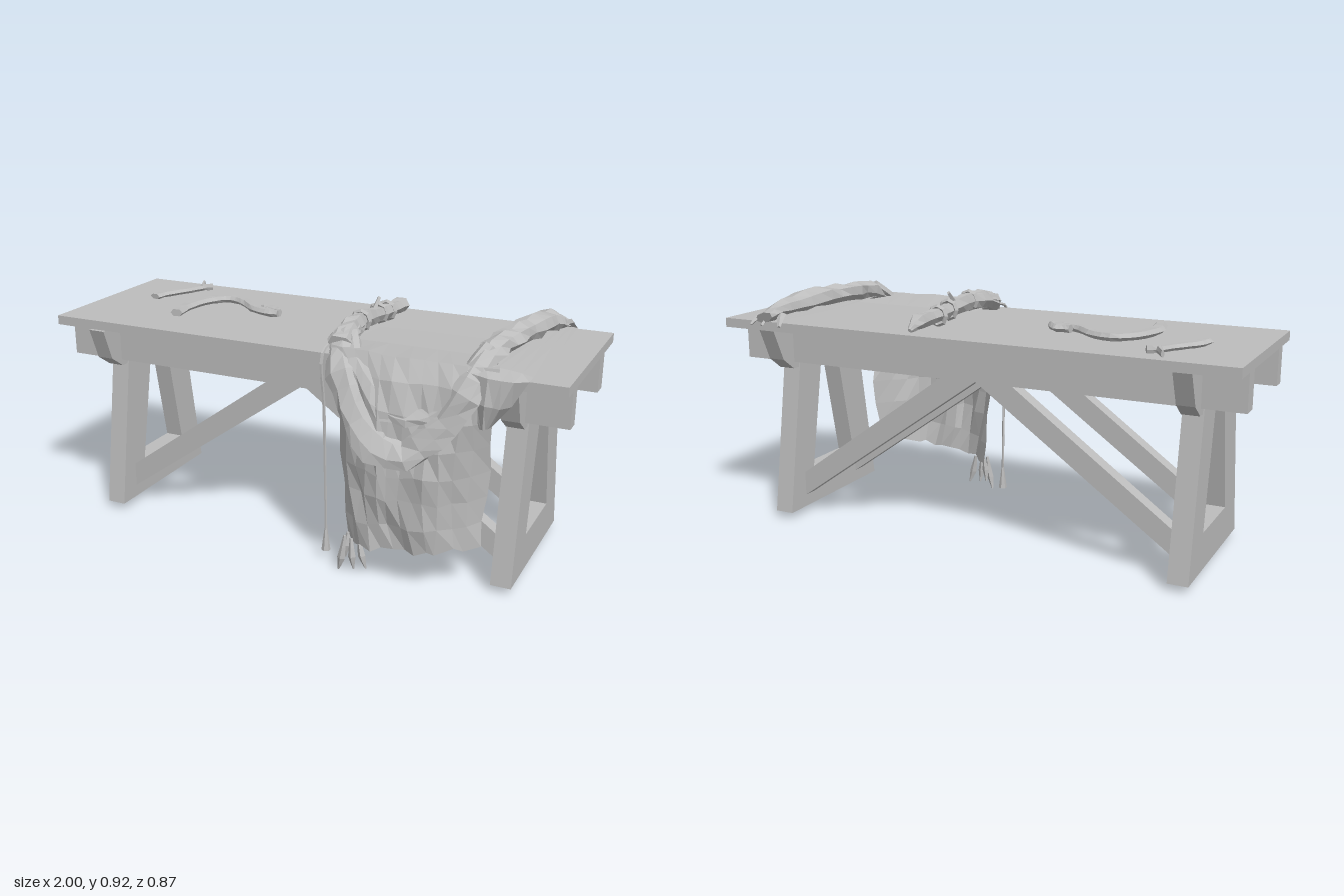
import * as THREE from 'three';

export function createModel() {
  const group = new THREE.Group();
  const grey = new THREE.MeshStandardMaterial({ color: 0xbcbcbc, flatShading: true, side: THREE.DoubleSide });
  grey.name = 'plain grey';

  let seed = 7;
  const jitter = (a) => {
    seed = (seed * 16807) % 2147483647;
    return (seed / 2147483647 - 0.5) * 2 * a;
  };
  const add = (name, geo) => {
    const m = new THREE.Mesh(geo, grey);
    m.name = name;
    group.add(m);
    return m;
  };
  const box = (name, x0, x1, y0, y1, z0, z1) => {
    const m = add(name, new THREE.BoxGeometry(x1 - x0, y1 - y0, z1 - z0));
    m.position.set((x0 + x1) / 2, (y0 + y1) / 2, (z0 + z1) / 2);
    return m;
  };
  // Grid of points -> faceted surface
  const skin = (name, rows, closed) => {
    const pos = [];
    for (let i = 0; i < rows.length - 1; i++) {
      const n = rows[i].length;
      for (let j = 0; j < (closed ? n : n - 1); j++) {
        const k = (j + 1) % n;
        const a = rows[i][j], b = rows[i][k], c = rows[i + 1][k], d = rows[i + 1][j];
        for (const p of [a, b, c, a, c, d]) pos.push(p.x, p.y, p.z);
      }
    }
    const g = new THREE.BufferGeometry();
    g.setAttribute('position', new THREE.Float32BufferAttribute(pos, 3));
    g.computeVertexNormals();
    return add(name, g);
  };
  // Flattened tapering strand; each point is [x, y, z, half width, half height]
  const strand = (name, pts, { seg = 16, sides = 6, rough = 0, ref = [0, 1, 0] } = {}) => {
    const curve = new THREE.CatmullRomCurve3(pts.map((p) => new THREE.Vector3(p[0], p[1], p[2])));
    const up = new THREE.Vector3(...ref).normalize();
    const rows = [];
    for (let i = 0; i <= seg; i++) {
      const f = (i / seg) * (pts.length - 1);
      const k = Math.min(Math.floor(f), pts.length - 2);
      const w = THREE.MathUtils.lerp(pts[k][3], pts[k + 1][3], f - k);
      const h = THREE.MathUtils.lerp(pts[k][4], pts[k + 1][4], f - k);
      const c = curve.getPoint(i / seg), t = curve.getTangent(i / seg);
      const side = up.clone().cross(t).normalize();
      const n = t.clone().cross(side);
      const ring = [];
      for (let j = 0; j < sides; j++) {
        const a = (j / sides) * Math.PI * 2, r = 1 + jitter(rough);
        ring.push(c.clone().addScaledVector(side, Math.cos(a) * w * r).addScaledVector(n, Math.sin(a) * h * r));
      }
      rows.push(ring);
    }
    // close both ends on their centres
    rows.unshift(rows[0].map(() => curve.getPoint(0)));
    rows.push(rows[1].map(() => curve.getPoint(1)));
    return skin(name, rows, true);
  };

  // Bench top and long rails
  box('benchTop', -1, 1, 0.765, 0.8, -0.4, 0.285);
  for (const [z0, z1] of [[0.14, 0.195], [-0.28, -0.215]]) box('rail', -0.995, 0.995, 0.625, 0.765, z0, z1);

  // End frames: profile in z, y extruded along x
  const profile = (pts) => pts.map(([z, y]) => new THREE.Vector2(z, y));
  const slab = (name, outline, hole, depth, x) => {
    const s = new THREE.Shape(profile(outline));
    if (hole) s.holes.push(new THREE.Path(profile(hole)));
    const g = new THREE.ExtrudeGeometry(s, { depth, bevelEnabled: false });
    g.rotateY(-Math.PI / 2).translate(x + depth / 2, 0, 0);
    add(name, g);
  };
  for (const s of [-1, 1]) {
    slab('legFrame', [[0.25, 0.025], [0.155, 0.62], [-0.25, 0.62], [-0.35, 0.025]],
      [[0.09, 0.165], [-0.195, 0.165], [-0.11, 0.61], [0, 0.61]], 0.075, s * 0.81);
    slab('bearer', [[0.3, 0.765], [0.255, 0.645], [0.19, 0.6], [-0.285, 0.6], [-0.345, 0.645], [-0.398, 0.765]],
      null, 0.065, s * 0.81);
    // Diagonal braces
    for (const z of [0.13, -0.225]) {
      const sh = new THREE.Shape(profile([[0.79, 0.06], [0.79, 0.155], [0.06, 0.68], [0, 0.68], [0, 0.62]].map(([x, y]) => [s * x, y])));
      const g = new THREE.ExtrudeGeometry(sh, { depth: 0.055, bevelEnabled: false });
      g.translate(0, 0, z - 0.0275);
      add('brace', g);
    }
  }

  // Cloth panel: [y left, y right, x left, x right, z left, z right, z middle]
  const drape = (name, lines, cols, fold, rough) => skin(name, lines.map((l, i) => {
    const row = [];
    for (let j = 0; j <= cols; j++) {
      const u = j / cols, bulge = Math.pow(Math.sin(Math.PI * Math.min(u, 0.9999)), 0.6);
      const edge = THREE.MathUtils.lerp(l[4], l[5], u);
      const k = l[7] ?? 1;
      row.push(new THREE.Vector3(
        THREE.MathUtils.lerp(l[2], l[3], u) + jitter(rough) * k,
        THREE.MathUtils.lerp(l[0], l[1], u) + jitter(rough) * k,
        edge + (l[6] - edge) * bulge + (Math.sin(u * 15 + i * 0.5) * fold + jitter(rough)) * k));
    }
    return row;
  }), false);
  drape('hangingCloth', [
    [0.803, 0.803, 0.2, 0.7, -0.09, -0.13, -0.11, 0],
    [0.808, 0.808, 0.18, 0.72, 0.1, 0.1, 0.1, 0],
    [0.83, 0.825, 0.16, 0.77, 0.26, 0.28, 0.295, 0.2],
    [0.76, 0.75, 0.18, 0.78, 0.29, 0.3, 0.345, 0.5],
    [0.66, 0.64, 0.2, 0.76, 0.28, 0.29, 0.375],
    [0.54, 0.54, 0.21, 0.75, 0.27, 0.25, 0.39],
    [0.43, 0.44, 0.21, 0.74, 0.27, 0.22, 0.4],
    [0.33, 0.35, 0.22, 0.73, 0.28, 0.22, 0.39],
    [0.22, 0.26, 0.22, 0.73, 0.29, 0.23, 0.385],
    [0.12, 0.17, 0.24, 0.73, 0.3, 0.24, 0.375],
  ], 12, 0.013, 0.01);

  // Side strip lying on the top, falling over the edge in a point
  drape('sideFlap', [
    [0.805, 0.805, 0.76, 0.87, -0.41, -0.39, -0.4, 0],
    [0.812, 0.806, 0.7, 0.88, -0.1, -0.1, -0.1, 0],
    [0.83, 0.812, 0.67, 0.88, 0.24, 0.27, 0.25, 0],
    [0.81, 0.8, 0.67, 0.87, 0.3, 0.295, 0.33, 0.5],
    [0.72, 0.71, 0.69, 0.82, 0.32, 0.3, 0.34, 0.5],
    [0.62, 0.63, 0.72, 0.76, 0.31, 0.29, 0.32, 0.5],
  ], 5, 0.008, 0.006);

  // Rolled scarf: along the right, swagged across the front, back up on the left
  const cowl = { seg: 34, sides: 7, rough: 0.22, ref: [0, 1, 1] };
  strand('scarfRoll', [
    [0.8, 0.82, -0.42, 0.05, 0.02], [0.78, 0.845, -0.33, 0.06, 0.035], [0.76, 0.86, -0.15, 0.05, 0.038],
    [0.73, 0.86, 0.03, 0.045, 0.035], [0.71, 0.845, 0.18, 0.045, 0.035], [0.68, 0.76, 0.32, 0.055, 0.03],
    [0.6, 0.62, 0.36, 0.06, 0.03], [0.46, 0.52, 0.385, 0.07, 0.03], [0.33, 0.6, 0.375, 0.07, 0.03],
    [0.24, 0.74, 0.32, 0.06, 0.035], [0.18, 0.835, 0.2, 0.05, 0.035], [0.175, 0.86, 0.05, 0.03, 0.03],
  ], cowl);
  strand('scarfInnerFold', [
    [0.7, 0.87, 0.18, 0.03, 0.02], [0.64, 0.76, 0.3, 0.035, 0.02], [0.55, 0.66, 0.34, 0.04, 0.02],
    [0.42, 0.66, 0.35, 0.05, 0.02], [0.29, 0.77, 0.31, 0.04, 0.02], [0.2, 0.85, 0.18, 0.025, 0.02],
  ], { ...cowl, seg: 18 });
  // Frayed corners at the back edge
  for (const [x, dx] of [[0.75, -0.02], [0.8, 0.01], [0.84, 0.02]]) {
    strand('backFray', [[x, 0.83, -0.38, 0.02, 0.012], [x + dx, 0.79, -0.425, 0.006, 0.005]], { seg: 3, sides: 4 });
  }

  // Gathered end on the left with bindings
  strand('gatheredEnd', [
    [0.19, 0.815, -0.385, 0.008, 0.008], [0.19, 0.835, -0.32, 0.034, 0.028], [0.185, 0.84, -0.2, 0.026, 0.03],
    [0.185, 0.85, -0.1, 0.028, 0.03], [0.175, 0.86, 0.04, 0.026, 0.035], [0.18, 0.85, 0.16, 0.045, 0.04],
    [0.19, 0.83, 0.25, 0.05, 0.03],
  ], { seg: 18, rough: 0.15 });
  for (const [z, y] of [[-0.2, 0.84], [-0.12, 0.85], [0.045, 0.862]]) {
    const ring = add('binding', new THREE.TorusGeometry(0.034, 0.009, 4, 8));
    ring.position.set(0.18, y, z);
  }
  strand('bindingTip', [[0.18, 0.87, -0.07, 0.012, 0.01], [0.185, 0.912, -0.11, 0.008, 0.007]], { seg: 3, sides: 4, ref: [1, 0, 0] });

  // Hanging cord with tassel
  strand('cord', [[0.15, 0.83, 0.2, 0.006, 0.006], [0.142, 0.8, 0.292, 0.006, 0.006], [0.145, 0.6, 0.285, 0.006, 0.006],
    [0.148, 0.12, 0.273, 0.005, 0.005]], { seg: 12, sides: 5, ref: [1, 0, 0] });
  add('cordTassel', new THREE.CylinderGeometry(0.005, 0.017, 0.09, 6)).position.set(0.148, 0.08, 0.273);

  // Fringe below the cloth
  for (const [x, y, z, dx] of [[0.25, 0, 0.33, -0.025], [0.28, 0.02, 0.34, 0.01], [0.3, 0.02, 0.32, 0.03], [0.25, 0.04, 0.3, -0.01]]) {
    strand('fringe', [[x, 0.14, z, 0.006, 0.006], [x + dx * 0.5, y + 0.05, z + 0.005, 0.015, 0.011], [x + dx, y, z, 0.003, 0.003]],
      { seg: 4, sides: 4, ref: [0, 0, 1] });
  }

  // Loose strips on the bench top
  const flat = (name, pts, h, seg = 16) => strand(name, pts.map(([x, z, w]) => [x, 0.8 + h, z, w, h]), { seg, rough: 0.08 });
  flat('longStrip', [[-0.575, 0.1, 0.025], [-0.59, 0, 0.03], [-0.56, -0.12, 0.025], [-0.5, -0.18, 0.02], [-0.42, -0.16, 0.022],
    [-0.34, -0.09, 0.02], [-0.26, -0.06, 0.02], [-0.215, -0.06, 0.015]], 0.015, 20);
  flat('longStripEnd', [[-0.31, -0.11, 0.015], [-0.265, -0.1, 0.035], [-0.215, -0.065, 0.015]], 0.016, 6);
  flat('shortStrip', [[-0.8, -0.09, 0.025], [-0.785, -0.15, 0.026], [-0.73, -0.24, 0.018], [-0.695, -0.31, 0.014]], 0.012, 10);
  flat('shortStripFork', [[-0.7, -0.3, 0.014], [-0.735, -0.37, 0.006]], 0.014, 3);
  flat('shortStripFork', [[-0.7, -0.3, 0.014], [-0.665, -0.325, 0.008]], 0.014, 3);

  return group;
}
